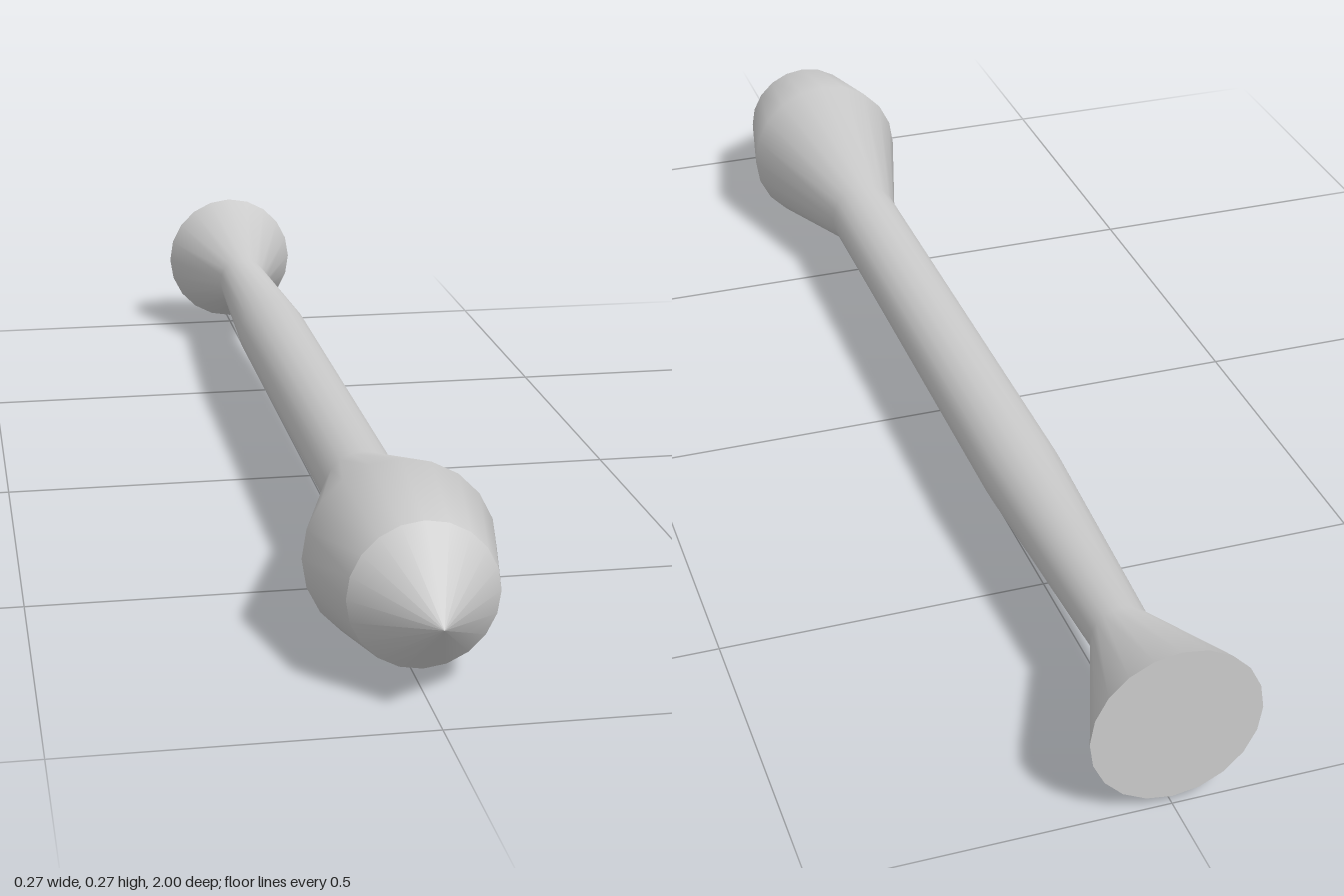
import * as THREE from 'three';

const SIDES = 20;
const AXIS_HEIGHT = 0.136;

export function createModel() {
  const group = new THREE.Group();
  const material = new THREE.MeshStandardMaterial({ color: 0xcccccc });

  const add = (name, geometry) => {
    const mesh = new THREE.Mesh(geometry, material);
    mesh.name = name;
    mesh.position.y = AXIS_HEIGHT;
    group.add(mesh);
    return mesh;
  };

  // Turned section along z, from [radius, z] pairs running back to front
  const turned = (name, profile) => {
    const points = profile.map(([r, z]) => new THREE.Vector2(r, z));
    return add(name, new THREE.LatheGeometry(points, SIDES).rotateX(Math.PI / 2));
  };

  // Flared end, tapering shaft and swollen head in one smooth surface
  turned('shaftAndHead', [
    [0.122, -1], [0.045, -0.8], [0.061, -0.4],
    [0.058, 0.46], [0.135, 0.725], [0.103, 0.88],
  ]);

  // Pointed tip, with a sharp edge where it meets the head
  turned('tip', [[0.103, 0.88], [0, 1]]);

  // Flat disc closing the flared end
  const cap = new THREE.CircleGeometry(0.122, SIDES).rotateY(Math.PI);
  add('endCap', cap).position.z = -1;

  return group;
}
